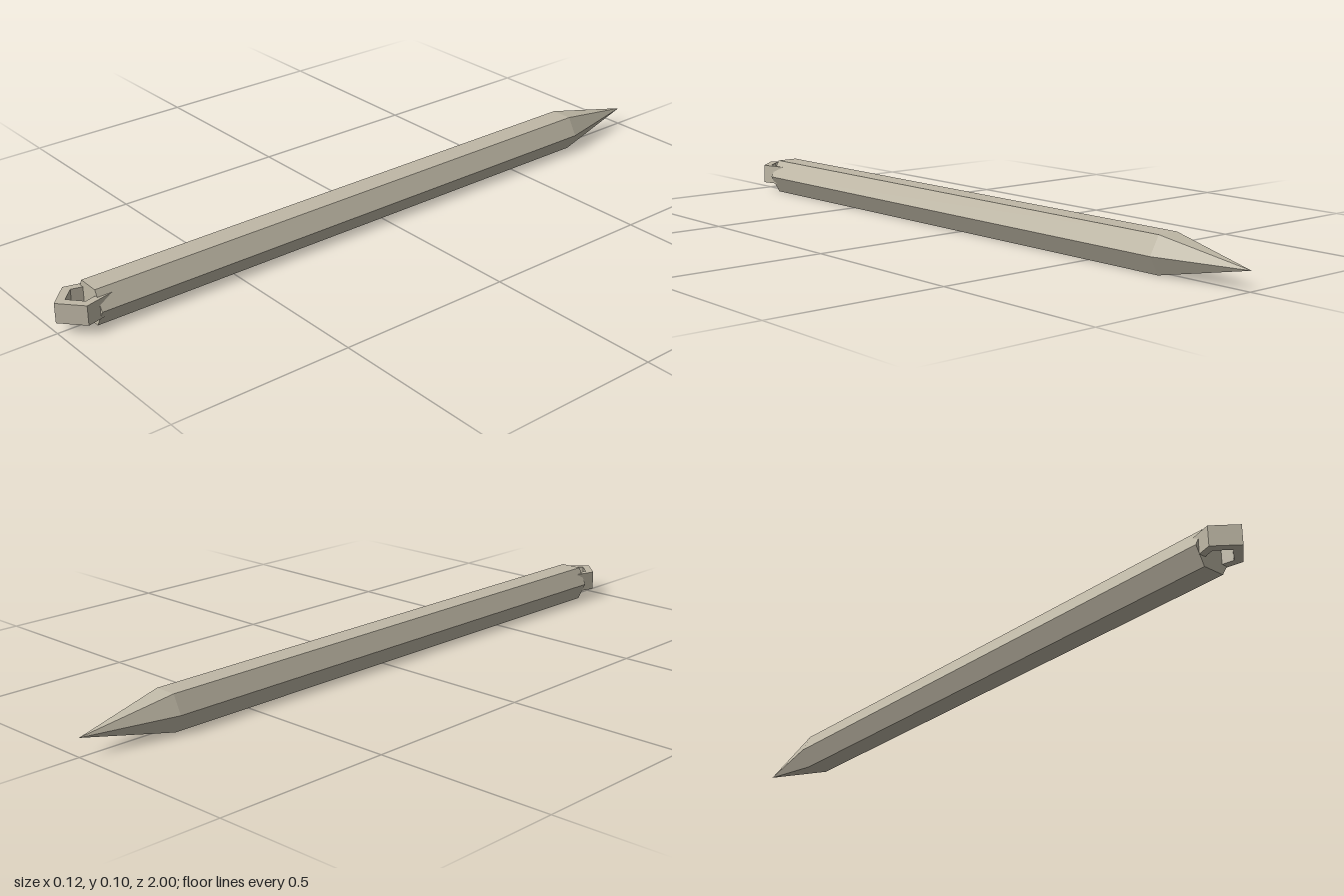
import * as THREE from 'three';

const stone = new THREE.MeshStandardMaterial({ color: 0xbfb8a6, flatShading: true });
stone.name = 'pale stone';

const FRONT = 0.905, SHOULDER = -0.74, AXIS_X = -0.003;

// Hexagonal cross-section of the shaft, counter-clockwise
const hexagon = [
  [0.058, 0.05], [0.029, 0.1], [-0.035, 0.1],
  [-0.06, 0.05], [-0.035, 0], [0.029, 0],
].map(([x, y]) => new THREE.Vector2(x, y));

function part(name, geometry) {
  const mesh = new THREE.Mesh(geometry, stone);
  mesh.name = name;
  return mesh;
}

// Long straight prism
function shaft() {
  const geometry = new THREE.ExtrudeGeometry(new THREE.Shape(hexagon), {
    depth: FRONT - SHOULDER, bevelEnabled: false,
  });
  geometry.translate(0, 0, SHOULDER);
  return part('shaft', geometry);
}

// Six facets closing on the point
function tip() {
  const positions = [];
  hexagon.forEach((p, i) => {
    const q = hexagon[(i + 1) % hexagon.length];
    positions.push(q.x, q.y, SHOULDER, p.x, p.y, SHOULDER, AXIS_X, 0.05, -1);
  });
  const geometry = new THREE.BufferGeometry();
  geometry.setAttribute('position', new THREE.Float32BufferAttribute(positions, 3));
  geometry.computeVertexNormals();
  return part('tip', geometry);
}

// Five-sided loop lying flat, its rear half sunk into the shaft
function loop() {
  const pentagon = (scale) => Array.from({ length: 5 }, (_, i) => {
    const a = (i * Math.PI * 2) / 5;
    return new THREE.Vector2(
      AXIS_X * Math.max(0, Math.cos(a)) + Math.sin(a) * 0.0627 * scale,
      -(0.92 + Math.cos(a) * 0.08 * scale),
    );
  });
  const shape = new THREE.Shape(pentagon(1));
  shape.holes.push(new THREE.Path(pentagon(0.62)));
  const geometry = new THREE.ExtrudeGeometry(shape, { depth: 0.055, bevelEnabled: false });
  geometry.rotateX(-Math.PI / 2);
  geometry.translate(0, 0.028, 0);
  return part('loop', geometry);
}

export function createModel() {
  const group = new THREE.Group();
  group.name = 'spike';
  group.add(shaft(), tip(), loop());
  return group;
}
